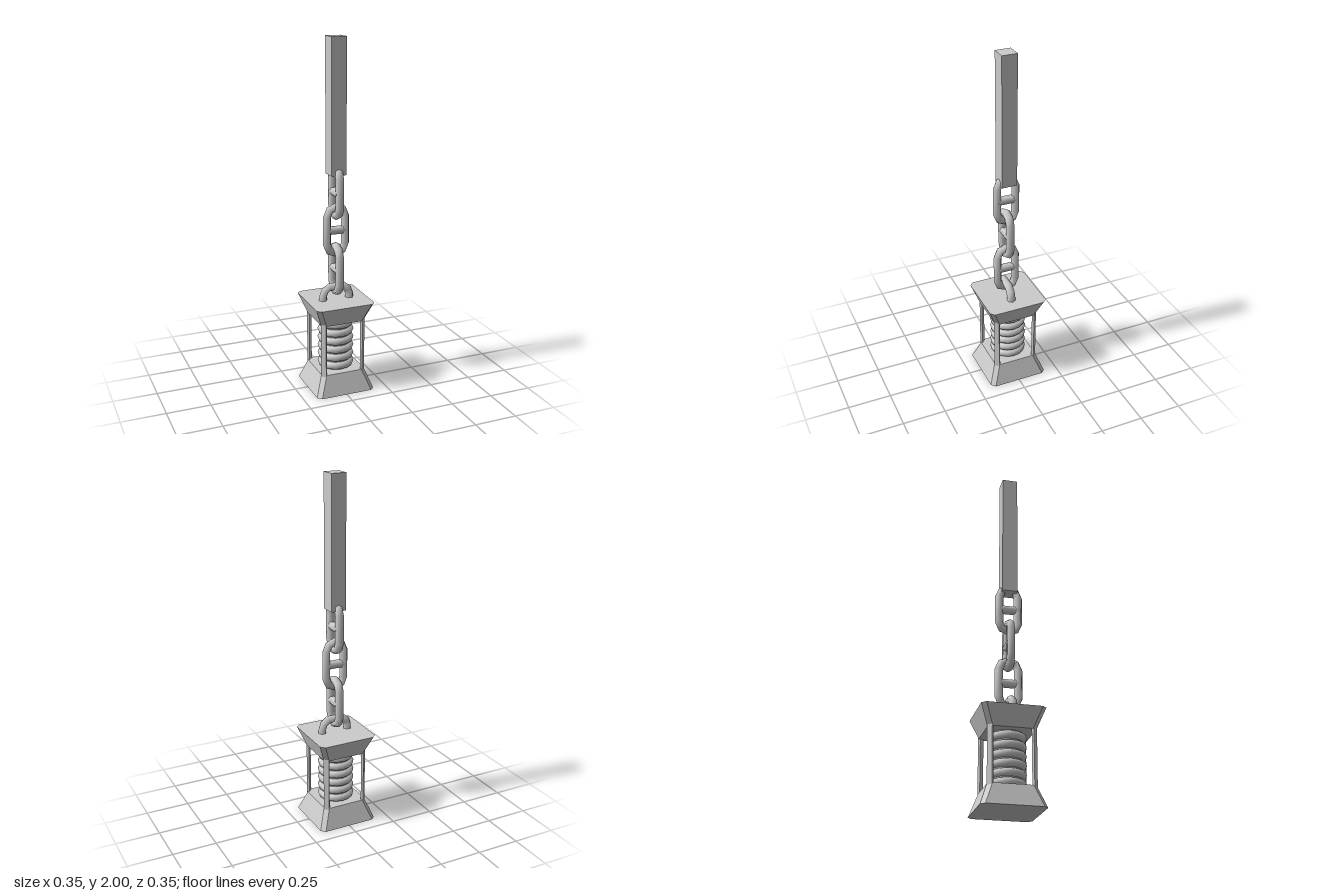
import * as THREE from 'three';

const material = new THREE.MeshStandardMaterial({ color: 0xcccccc, side: THREE.DoubleSide });
const flatMaterial = new THREE.MeshStandardMaterial({ color: 0xcccccc, flatShading: true });

function add(parent, name, geometry, mat, x = 0, y = 0, z = 0) {
  const mesh = new THREE.Mesh(geometry, mat);
  mesh.name = name;
  mesh.position.set(x, y, z);
  parent.add(mesh);
  return mesh;
}

// Sweeps a hexagonal rod along an anticlockwise path in the xy plane.
function sweepRod(path, radius, closed) {
  const sides = 6, n = path.length, positions = [], index = [];
  for (let i = 0; i < n; i++) {
    const prev = closed ? path[(i + n - 1) % n] : path[Math.max(i - 1, 0)];
    const next = closed ? path[(i + 1) % n] : path[Math.min(i + 1, n - 1)];
    const t = next.clone().sub(prev).normalize();
    for (let j = 0; j < sides; j++) {
      const a = j / sides * Math.PI * 2, c = radius * Math.cos(a);
      positions.push(path[i].x + t.y * c, path[i].y - t.x * c, radius * Math.sin(a));
    }
  }
  for (let i = 0; i < (closed ? n : n - 1); i++) {
    for (let j = 0; j < sides; j++) {
      const k = (j + 1) % sides, m = (i + 1) % n;
      const a = i * sides + j, b = m * sides + j, c = m * sides + k, d = i * sides + k;
      index.push(a, b, d, b, c, d);
    }
  }
  const geometry = new THREE.BufferGeometry();
  geometry.setAttribute('position', new THREE.Float32BufferAttribute(positions, 3));
  geometry.setIndex(index);
  geometry.computeVertexNormals();
  return geometry;
}

// Square frustum with cut corners, closed at both ends.
function frustum(bottomHalf, topHalf, height, cut) {
  const ring = (h, y) => [
    [h, h - cut], [h - cut, h], [cut - h, h], [-h, h - cut],
    [-h, cut - h], [cut - h, -h], [h - cut, -h], [h, cut - h],
  ].flatMap(([x, z]) => [x, y, z]);
  const positions = [...ring(bottomHalf, 0), ...ring(topHalf, height)];
  const index = [];
  for (let i = 0; i < 8; i++) {
    const j = (i + 1) % 8;
    index.push(i, i + 8, j, j, i + 8, j + 8);
    if (i > 0 && i < 7) index.push(0, i, i + 1, 8, i + 9, i + 8);
  }
  const geometry = new THREE.BufferGeometry();
  geometry.setAttribute('position', new THREE.Float32BufferAttribute(positions, 3));
  geometry.setIndex(index);
  const flat = geometry.toNonIndexed();
  flat.computeVertexNormals();
  return flat;
}

// Oval chain link with a cross stud.
function chainLink(name) {
  const group = new THREE.Group();
  group.name = name;
  const r = 0.054, straight = 0.08, path = [];
  for (const end of [0, 1]) {
    for (let i = 0; i <= 4; i++) {
      const a = end * Math.PI + i / 4 * Math.PI;
      path.push(new THREE.Vector2(r * Math.cos(a), r * Math.sin(a) + (end ? -straight : straight)));
    }
  }
  add(group, 'linkLoop', sweepRod(path, 0.024, true), material);
  add(group, 'linkStud', new THREE.CylinderGeometry(0.024, 0.024, 0.108, 6, 1), material).rotation.z = Math.PI / 2;
  return group;
}

export function createModel() {
  const model = new THREE.Group();
  model.name = 'hangingLantern';

  // Hanging beam
  add(model, 'beam', new THREE.BoxGeometry(0.088, 0.745, 0.088), flatMaterial, 0, 1.6275, 0.007);

  // Chain, alternate links turned a quarter
  [1.152, 0.935, 0.707].forEach((y, i) => {
    const link = chainLink('chainLink' + (i + 1));
    link.position.set(0, y, 0.008);
    link.rotation.y = i % 2 ? 0 : Math.PI / 2;
    model.add(link);
  });

  // Handle on the lantern roof
  const arch = [[0.08, 0.5], [0.08, 0.55], [0.07, 0.58], [0.042, 0.602]];
  const handlePath = [...arch, ...arch.map(([x, y]) => [-x, y]).reverse()]
    .map(([x, y]) => new THREE.Vector2(x, y));
  add(model, 'handle', sweepRod(handlePath, 0.024, false), material, -0.001, 0, 0.012);

  // Flared base and roof
  add(model, 'base', frustum(0.174, 0.13, 0.118, 0.023), flatMaterial);
  add(model, 'roof', frustum(0.13, 0.174, 0.112, 0.023), flatMaterial, 0, 0.417, 0);

  // Corner posts set diagonally
  for (const sx of [-1, 1]) {
    for (const sz of [-1, 1]) {
      const post = add(model, 'cornerPost', new THREE.BoxGeometry(0.031, 0.32, 0.014), flatMaterial,
        sx * 0.117, 0.267, sz * 0.117);
      post.rotation.y = sx * sz * Math.PI / 4;
    }
  }

  // Ribbed lamp body
  add(model, 'lampCore', new THREE.CylinderGeometry(0.085, 0.085, 0.31, 16), material, 0, 0.267, 0);
  for (let i = 0; i < 6; i++) {
    const rib = add(model, 'lampRib', new THREE.TorusGeometry(0.08, 0.024, 8, 16), material,
      0, 0.142 + i * 0.05, 0);
    rib.rotation.x = Math.PI / 2;
  }

  return model;
}
